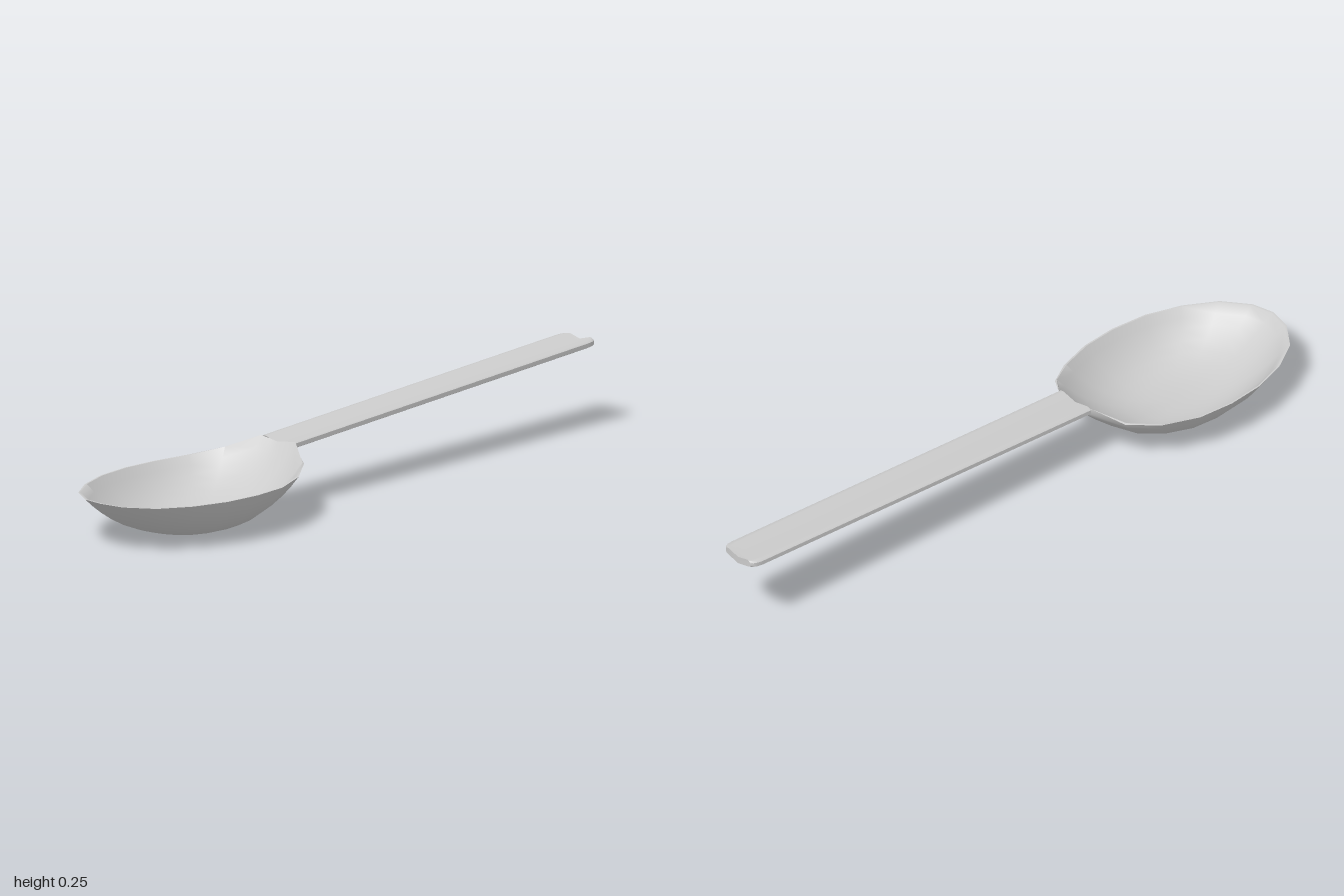
import * as THREE from 'three';
import { toCreasedNormals } from 'three/addons/utils/BufferGeometryUtils.js';

const material = new THREE.MeshStandardMaterial({ color: 0xcccccc, side: THREE.DoubleSide });

// Skin a list of closed rings that hold the same number of points.
function loft(rings, crease) {
  const n = rings[0].length, index = [];
  for (let i = 0; i < rings.length - 1; i++) {
    for (let j = 0; j < n; j++) {
      const a = i * n + j, b = i * n + (j + 1) % n;
      index.push(a, b, a + n, b, b + n, a + n);
    }
  }
  const geometry = new THREE.BufferGeometry();
  geometry.setAttribute('position', new THREE.Float32BufferAttribute(rings.flat(2), 3));
  geometry.setIndex(index);
  return toCreasedNormals(geometry, crease);
}

function makeBowl() {
  const cx = -0.62, floor = 0.01;
  // Half rim from tip to neck: x, z, underside height, top height, lip inset
  const half = [
    [-1, 0, 0.137, 0.137, 0.02], [-0.985, 0.07, 0.135, 0.135, 0.02],
    [-0.93, 0.145, 0.133, 0.133, 0.02], [-0.84, 0.2, 0.132, 0.132, 0.02],
    [-0.735, 0.235, 0.132, 0.132, 0.02], [-0.62, 0.246, 0.132, 0.132, 0.02],
    [-0.51, 0.237, 0.132, 0.132, 0.02], [-0.4, 0.2, 0.137, 0.137, 0.02],
    [-0.315, 0.145, 0.15, 0.153, 0.015], [-0.26, 0.064, 0.17, 0.188, 0],
    [-0.26, 0.03, 0.161, 0.184, 0], [-0.26, 0, 0.157, 0.179, 0],
  ];
  const mirrored = half.slice(1, -1).reverse().map(([x, z, ...rest]) => [x, -z, ...rest]);
  const rim = [...half, ...mirrored];
  const power = (z) => 2.5 + 0.7 * (z / 0.246) ** 2;
  const steps = [0, 0.14, 0.27, 0.4, 0.52, 0.64, 0.75, 0.85, 0.93, 1];

  // Underside from the middle out to the rim, then the hollow back to the middle
  const under = steps.map((s) => rim.map(([x, z, y]) =>
    [cx + (x - cx) * s, y * s ** power(z), z * s]));
  const hollow = [...steps].reverse().map((s) => rim.map(([x, z, , y, inset]) => {
    const r = s * (1 - inset);
    return [cx + (x - cx) * r, floor + (y - floor) * s ** power(z), z * r];
  }));
  return loft([...under, ...hollow], 0.9);
}

function makeHandle() {
  // Shallow V section as z, y offset; top runs from -z to +z, then back below
  const section = [
    [-0.064, -0.005], [-0.058, -0.001], [-0.048, 0], [0, -0.01], [0.048, 0],
    [0.058, -0.001], [0.064, -0.005], [0.064, -0.017], [0.058, -0.02],
    [0, -0.031], [-0.058, -0.02], [-0.064, -0.017],
  ];
  const topAt = (x) => 0.253 + (x - 1) * 0.051;
  const ring = (x, scale) => section.map(([z, y]) => [x, topAt(x) + y, z * scale]);
  // Straight run with rounded corners at the free end
  const rings = [[-0.26, 1], [0.965, 1], [0.982, 0.97], [0.994, 0.89], [1, 0.76]]
    .map(([x, scale]) => ring(x, scale));
  // Close the free end
  rings.push(section.map(() => [1, topAt(1) - 0.02, 0]));
  return loft(rings, 0.8);
}

export function createModel() {
  const group = new THREE.Group();
  group.name = 'spoon';
  for (const [name, geometry] of [['bowl', makeBowl()], ['handle', makeHandle()]]) {
    const mesh = new THREE.Mesh(geometry, material);
    mesh.name = name;
    group.add(mesh);
  }
  return group;
}
